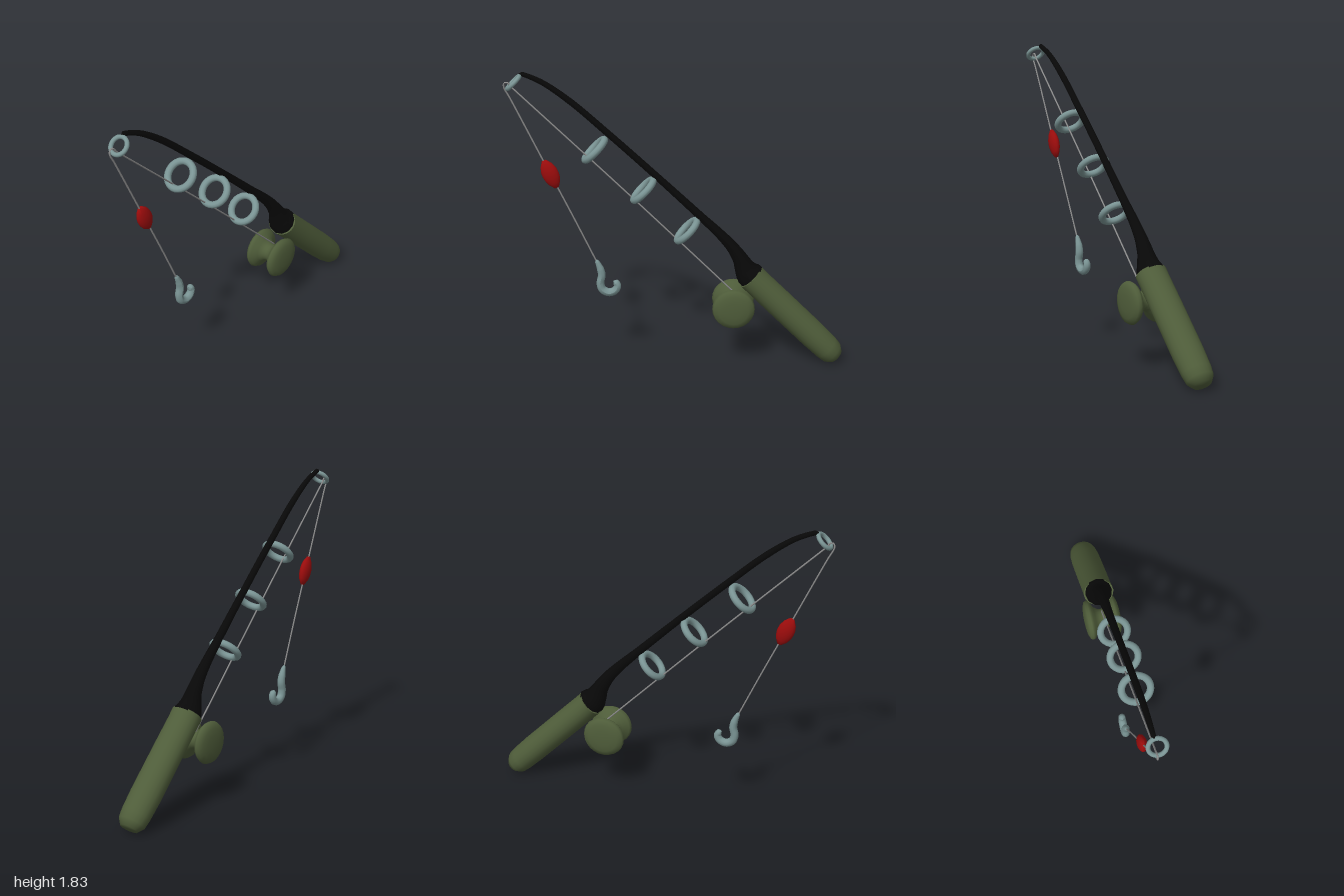
import * as THREE from 'three';
import { toCreasedNormals } from 'three/addons/utils/BufferGeometryUtils.js';

const mat = (color) => new THREE.MeshStandardMaterial({ color, side: THREE.DoubleSide });
const green = mat(0x4f5d3a), black = mat(0x080808), steel = mat(0x7a9494);
const red = mat(0x9c0c0c), grey = mat(0x8a8a8a);

// Round tube whose radius follows the control points: [x, y, z, radius]
function taperedTube(points, segments, sides) {
  const curve = new THREE.CatmullRomCurve3(points.map(([x, y, z]) => new THREE.Vector3(x, y, z)));
  const geo = new THREE.TubeGeometry(curve, segments, 1, sides);
  const pos = geo.attributes.position;
  const v = new THREE.Vector3();
  for (let i = 0; i <= segments; i++) {
    const t = curve.getUtoTmapping(i / segments) * (points.length - 1);
    const k = Math.min(Math.floor(t), points.length - 2);
    const r = THREE.MathUtils.lerp(points[k][3], points[k + 1][3], t - k);
    const centre = curve.getPointAt(i / segments);
    for (let j = 0; j <= sides; j++) {
      const n = i * (sides + 1) + j;
      v.fromBufferAttribute(pos, n).sub(centre).multiplyScalar(r).add(centre);
      pos.setXYZ(n, v.x, v.y, v.z);
    }
  }
  geo.computeVertexNormals();
  return geo;
}

const lathe = (profile, sides, crease) => {
  const geo = new THREE.LatheGeometry(profile.map(([r, y]) => new THREE.Vector2(r, y)), sides);
  return toCreasedNormals(geo, crease);
};

export function createModel() {
  const model = new THREE.Group();
  model.name = 'fishingRod';
  const add = (name, geo, material) => {
    const mesh = new THREE.Mesh(geo, material);
    mesh.name = name;
    model.add(mesh);
    return mesh;
  };

  // Grip, leaning at 45 degrees
  const handle = add('handle', lathe([
    [0, -0.008], [0.05, -0.007], [0.074, 0.03], [0.08, 0.08], [0.084, 0.2],
    [0.084, 0.5], [0.083, 0.68], [0.084, 0.744], [0, 0.744],
  ], 20, 1.3), green);
  handle.position.set(0.963, 0.042, 0);
  handle.rotation.z = Math.PI / 4;
  handle.scale.z = 1.12;

  // Blank: flared at the grip, bending over at the tip
  add('rod', taperedTube([
    [0.445, 0.565, 0, 0.085], [0.428, 0.582, 0, 0.083], [0.404, 0.62, 0, 0.064],
    [0.378, 0.675, 0, 0.048], [0.33, 0.75, 0, 0.037], [0.265, 0.825, 0, 0.031],
    [0.14, 0.948, 0, 0.025], [-0.13, 1.208, 0, 0.021], [-0.405, 1.465, 0, 0.02],
    [-0.62, 1.657, 0, 0.019], [-0.78, 1.77, 0, 0.016], [-0.895, 1.818, 0, 0.013],
    [-0.905, 1.819, 0, 0],
  ], 96, 12), black);

  // Line guides, facing along the rod
  [
    [0.056, 0.864, 0.082, 0.021], [-0.2, 1.118, 0.082, 0.021],
    [-0.48, 1.366, 0.082, 0.021], [-0.935, 1.768, 0.05, 0.013],
  ].forEach(([x, y, radius, tube], i) => {
    const ring = add(i < 3 ? 'guideRing' : 'tipRing', new THREE.TorusGeometry(radius, tube, 10, 28), steel);
    ring.position.set(x, y, 0.011);
    ring.rotation.set(0, Math.PI / 2, -Math.PI / 4, 'ZYX');
  });

  // Reel: spool with two rounded flanges
  const half = [[0.055, 0], [0.06, 0.02], [0.078, 0.046], [0.118, 0.062], [0.128, 0.08],
    [0.12, 0.096], [0.09, 0.108], [0.05, 0.113], [0, 0.114]];
  const mirrored = half.slice(1).reverse().map(([r, y]) => [r, -y]);
  const reel = add('reel', lathe([...mirrored, ...half], 24, 1.2), green);
  reel.rotation.x = Math.PI / 2;
  reel.position.set(0.337, 0.384, -0.002);

  // Line from the reel through the guides, then hanging from the tip
  add('reelLine', taperedTube([
    [0.36, 0.44, 0, 0.005], [-0.3, 1.1, 0, 0.005], [-0.965, 1.752, 0, 0.005],
  ], 12, 6), grey);
  add('hangingLine', taperedTube([
    [-0.95, 1.74, 0, 0.005], [-0.968, 1.763, 0, 0.005], [-0.99, 1.762, 0, 0.005],
    [-0.993, 1.738, 0, 0.005], [-0.96, 1.67, -0.003, 0.005], [-0.78, 1.28, -0.015, 0.005],
    [-0.62, 0.935, -0.026, 0.005], [-0.485, 0.635, -0.037, 0.005],
  ], 80, 6), grey);

  // Pointed float on the line, flattened front to back
  const bobber = add('bobber', lathe([
    [0, -0.093], [0.014, -0.09], [0.037, -0.058], [0.048, -0.025], [0.05, 0],
    [0.048, 0.025], [0.037, 0.058], [0.014, 0.09], [0, 0.093],
  ], 16, 1.2), red);
  bobber.position.set(-0.745, 1.205, -0.016);
  bobber.rotation.z = Math.atan2(0.42, 1);
  bobber.scale.z = 0.58;

  // Hook
  const hz = -0.037;
  add('hook', taperedTube([
    [-0.492, 0.655, hz, 0], [-0.486, 0.642, hz, 0.012], [-0.465, 0.59, hz, 0.022],
    [-0.458, 0.548, hz, 0.024], [-0.467, 0.5, hz, 0.024], [-0.456, 0.458, hz, 0.025],
    [-0.417, 0.437, hz, 0.025], [-0.378, 0.451, hz, 0.024], [-0.363, 0.484, hz, 0.022],
    [-0.376, 0.505, hz, 0.019], [-0.39, 0.512, hz, 0],
  ], 48, 10), steel);

  return model;
}
